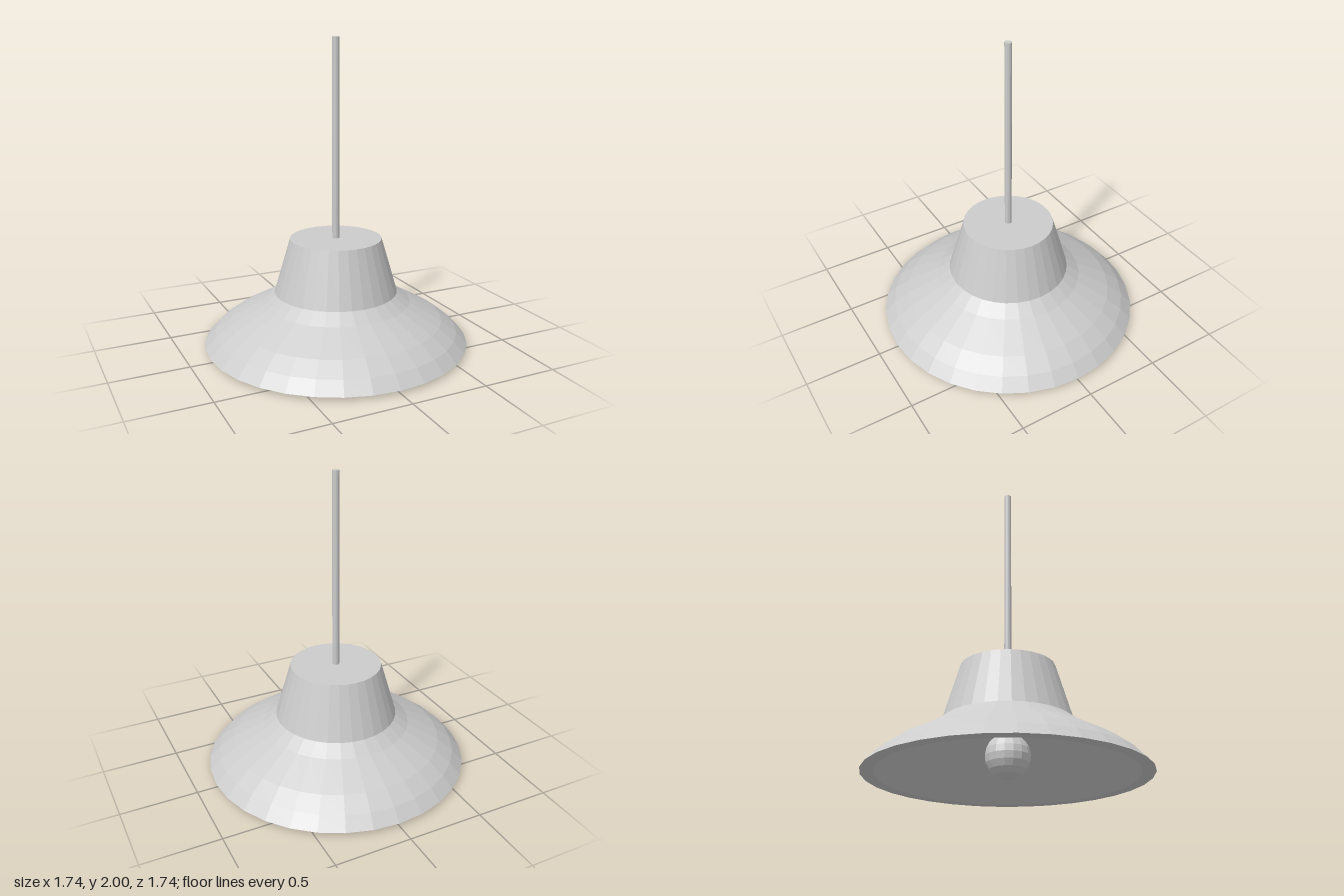
import * as THREE from 'three';

export function createModel() {
  const group = new THREE.Group();
  group.name = 'pendantLamp';
  const material = new THREE.MeshStandardMaterial({ color: 0xcccccc, flatShading: true });

  const add = (name, geometry, y = 0) => {
    const mesh = new THREE.Mesh(geometry, material);
    mesh.name = name;
    mesh.position.y = y;
    group.add(mesh);
  };
  const lathe = (points, sides) =>
    new THREE.LatheGeometry(points.map(([r, y]) => new THREE.Vector2(r, y)), sides);

  // Shade and collar: inner ceiling, inner cone, flat rim, flared outside, closed top
  add('shade', lathe([
    [0, 0.385], [0.22, 0.385], [0.79, 0.02],
    [0.87, 0.02], [0.8, 0.095], [0.7, 0.17], [0.49, 0.285], [0.405, 0.35],
    [0.3, 0.71], [0, 0.71],
  ], 32));

  // Hanging rod
  add('rod', new THREE.CylinderGeometry(0.023, 0.023, 1.29, 16), 1.355);

  // Socket tapering up to the inner ceiling, and the bulb below it
  add('socket', new THREE.CylinderGeometry(0.065, 0.085, 0.16, 16), 0.305);
  add('bulb', new THREE.SphereGeometry(0.14, 16, 10), 0.14);

  return group;
}
